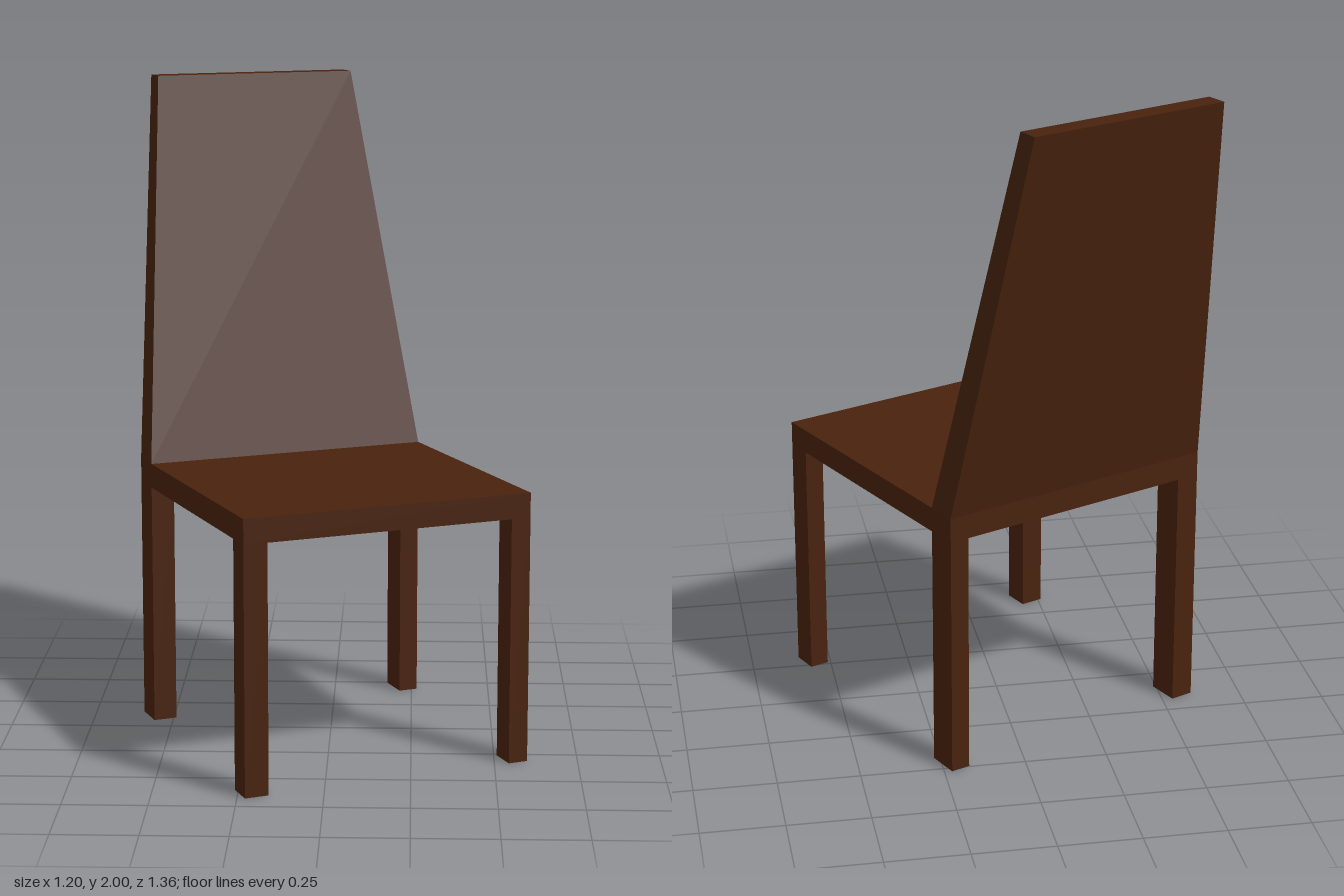
import * as THREE from 'three';

const darkWood = new THREE.MeshStandardMaterial({ color: 0x48220e });
darkWood.name = 'darkWood';

// Box given by its lower and upper limits on each axis
function block(name, x0, x1, y0, y1, z0, z1) {
  const geometry = new THREE.BoxGeometry(x1 - x0, y1 - y0, z1 - z0);
  geometry.translate((x0 + x1) / 2, (y0 + y1) / 2, (z0 + z1) / 2);
  const mesh = new THREE.Mesh(geometry, darkWood);
  mesh.name = name;
  return mesh;
}

export function createModel() {
  const model = new THREE.Group();
  model.name = 'chair';

  // The chair stands turned about the vertical axis
  const chair = new THREE.Group();
  chair.name = 'turnedChair';
  chair.rotation.y = THREE.MathUtils.degToRad(24.1);
  chair.position.z = 0.08;
  model.add(chair);

  const w = 0.452, d = 0.456;      // half width and half depth of the seat
  const under = 0.75, top = 0.825; // underside and top of the seat

  chair.add(block('seat', -w, w, under, top, -d, d));

  // Legs flush with the seat corners; the left pair is slightly slimmer
  for (const [side, x0, x1] of [['Right', -w, -w + 0.073], ['Left', w - 0.061, w]]) {
    chair.add(block('front' + side + 'Leg', x0, x1, 0, under, d - 0.083, d));
    chair.add(block('back' + side + 'Leg', x0, x1, 0, under, -d, -d + 0.1));
  }

  // Backrest: tapers upwards in width and thickness and leans back
  const back = block('backrest', -w, w, top, 2, -d, -d + 0.1);
  const p = back.geometry.attributes.position;
  for (let i = 0; i < p.count; i++) {
    if (p.getY(i) < 1.5) continue;
    p.setX(i, Math.sign(p.getX(i)) * 0.325);
    p.setZ(i, p.getZ(i) < -d + 0.05 ? -0.688 : -0.62);
  }
  back.geometry = back.geometry.toNonIndexed();
  back.geometry.computeVertexNormals();
  chair.add(back);

  return model;
}
